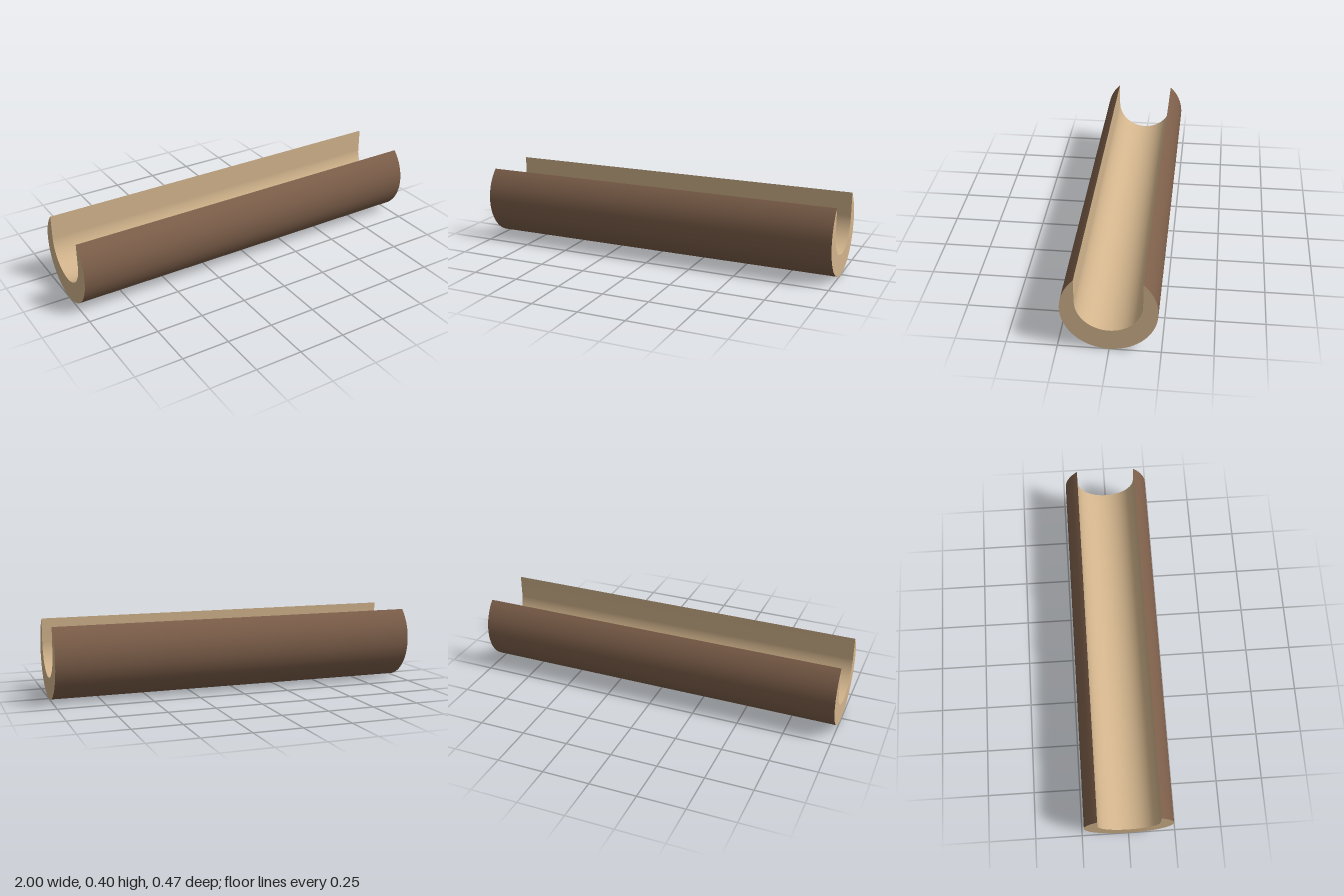
import * as THREE from 'three';

const LENGTH = 2;
const R = 0.233;             // outer radius, centred at height R
const r = 0.1615;            // trough radius
const TROUGH_Y = 0.2755;     // centre height of the trough arc
const RIM_Y = R + Math.sqrt(R * R - r * r);

// Points (z, y) along an arc
function arc(radius, cy, from, to, n) {
  return Array.from({ length: n + 1 }, (_, i) => {
    const a = from + (to - from) * i / n;
    return new THREE.Vector2(radius * Math.cos(a), cy + radius * Math.sin(a));
  });
}

// Sweep a (z, y) profile along x as a smooth strip
function sweep(profile) {
  const geo = new THREE.PlaneGeometry(LENGTH, 1, 1, profile.length - 1);
  const pos = geo.attributes.position;
  for (let i = 0; i < pos.count; i++) {
    const p = profile[Math.floor(i / 2)];
    pos.setXYZ(i, pos.getX(i), p.y, p.x);
  }
  geo.computeVertexNormals();
  return geo;
}

export function createModel() {
  const group = new THREE.Group();
  group.name = 'hollowedLog';
  const bark = new THREE.MeshStandardMaterial({ color: 0x7d5f4a, side: THREE.DoubleSide });
  const wood = new THREE.MeshStandardMaterial({ color: 0xd2b48c, side: THREE.DoubleSide });

  const add = (name, geo, mat) => {
    const mesh = new THREE.Mesh(geo, mat);
    mesh.name = name;
    group.add(mesh);
    return mesh;
  };

  // Profiles: bark from front rim under to back rim, trough from back rim to front rim
  const rim = Math.atan2(RIM_Y - R, r);
  const outer = arc(R, R, rim, -Math.PI - rim, 48);
  const inner = [
    new THREE.Vector2(-r, RIM_Y),
    ...arc(r, TROUGH_Y, -Math.PI, 0, 32),
    new THREE.Vector2(r, RIM_Y),
  ];

  add('bark', sweep(outer), bark);
  add('trough', sweep(inner), wood);

  // Cut ends
  const section = new THREE.Shape([...outer, ...inner.slice(1, -1)]);
  for (const [name, side] of [['leftEnd', 1], ['rightEnd', -1]]) {
    const end = add(name, new THREE.ShapeGeometry(section), wood);
    end.rotation.y = side * Math.PI / 2;
    end.position.x = side * LENGTH / 2;
  }

  return group;
}
